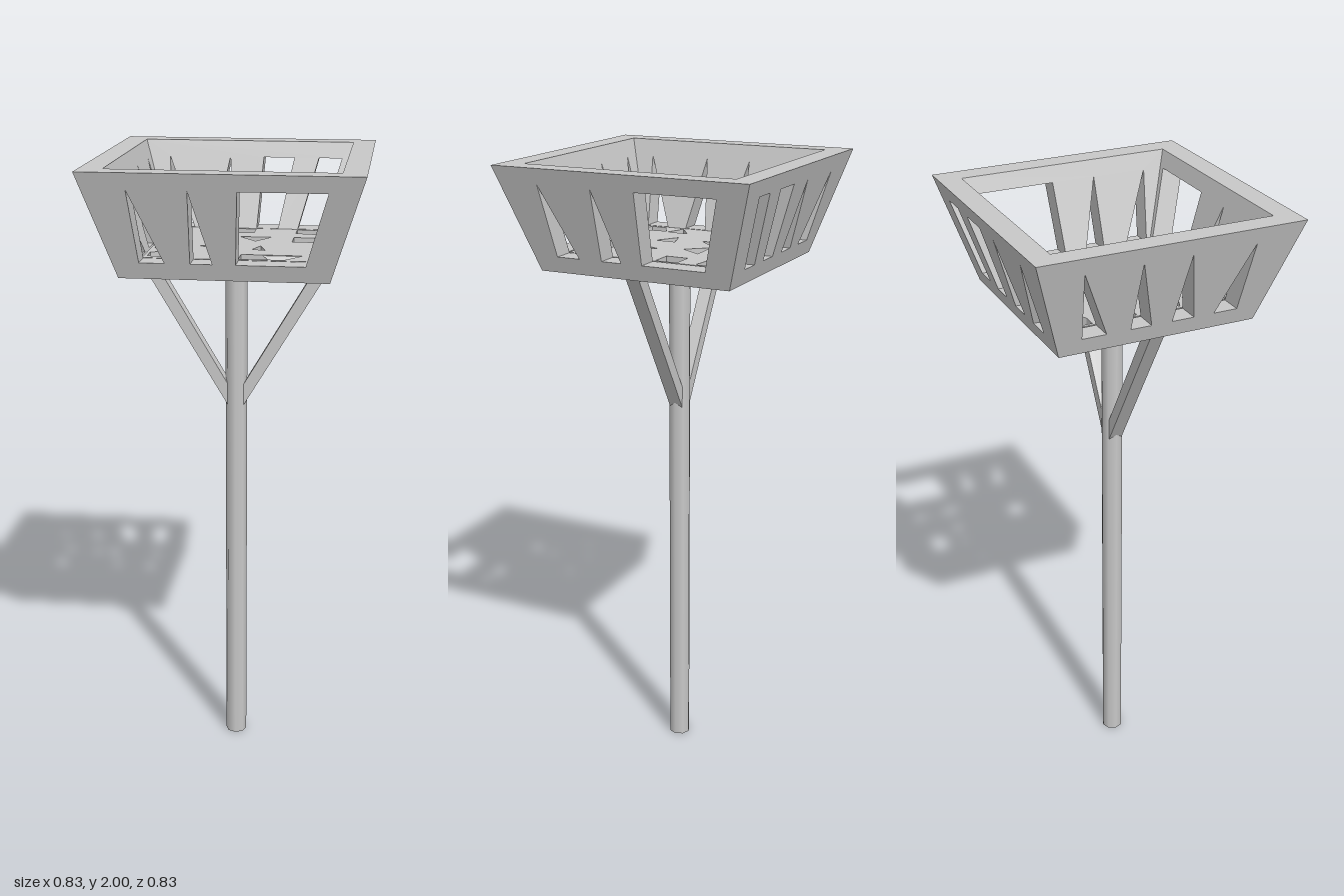
import * as THREE from 'three';

const FLOOR = 1.73, BASE = 1.68, TOP = 2, THICK = 0.07;
const halfAt = (y) => 0.31 + (0.1 * (y - BASE)) / (TOP - BASE); // flare of the basket

const poly = (pts, Type = THREE.Path) => new Type(pts.map(([x, y]) => new THREE.Vector2(x, y)));

// slot outlines: triangular, straight-sided, and a wide one where a slat is gone
const tri = (apex, a, b) => [[a, FLOOR], [b, FLOOR], [apex, 1.95]];
const quad = (a, b, c, d) => [[a, FLOOR], [b, FLOOR], [d, 1.95], [c, 1.95]];
const wide = quad(0.038, 0.24, 0.05, 0.305);

// sloping wall with mitred corners
function wallGeometry(slots) {
  const shape = poly([[-0.31, BASE], [0.31, BASE], [0.41, TOP], [-0.41, TOP]], THREE.Shape);
  slots.forEach((s) => shape.holes.push(poly(s)));
  const g = new THREE.ExtrudeGeometry(shape, { depth: 1, bevelEnabled: false });
  const p = g.attributes.position;
  for (let i = 0; i < p.count; i++) {
    const z = halfAt(p.getY(i)) - THICK * (1 - p.getZ(i));
    p.setXYZ(i, THREE.MathUtils.clamp(p.getX(i), -z, z), p.getY(i), z);
  }
  g.computeVertexNormals();
  return g;
}

export function createModel() {
  const model = new THREE.Group();
  model.name = 'lookoutPost';
  const grey = new THREE.MeshStandardMaterial({ color: 0xc8c8c8, side: THREE.DoubleSide });
  grey.name = 'grey';
  const add = (parent, geometry, name) => {
    const m = new THREE.Mesh(geometry, grey);
    m.name = name;
    parent.add(m);
    return m;
  };

  // post
  const post = add(model, new THREE.CylinderGeometry(0.035, 0.035, 1.7, 8), 'post');
  post.position.y = 0.85;

  // side braces
  for (const s of [-1, 1]) {
    const shape = poly([[0.02 * s, 1.2], [0.31 * s, 1.685], [0.265 * s, 1.685], [0.02 * s, 1.27]], THREE.Shape);
    const g = new THREE.ExtrudeGeometry(shape, { depth: 0.044, bevelEnabled: false });
    g.translate(0, 0, -0.022);
    add(model, g, s > 0 ? 'leftBrace' : 'rightBrace');
  }

  // basket walls: front, left, back, right
  const basket = new THREE.Group();
  basket.name = 'basket';
  basket.rotation.y = 0.008;
  model.add(basket);
  const t1 = tri(-0.265, -0.245, -0.17), t2 = tri(-0.09, -0.095, -0.03);
  const t3 = tri(0.06, 0.035, 0.105), t4 = tri(0.26, 0.17, 0.245);
  const walls = {
    frontWall: [t1, t2, wide],
    leftWall: [t1, t2, wide],
    backWall: [quad(-0.24, -0.17, -0.305, -0.23), quad(-0.105, -0.035, -0.15, -0.05), t3, t4],
    rightWall: [t1, t2, t3, t4],
  };
  Object.entries(walls).forEach(([name, slots], k) => {
    add(basket, wallGeometry(slots), name).rotation.y = (k * Math.PI) / 2;
  });

  // broken grating floor, outlines in x and z
  const holes = [
    [[-0.24, -0.24], [-0.175, -0.24], [-0.175, -0.19], [-0.2, -0.175], [-0.24, -0.175]],
    [[-0.24, -0.105], [-0.215, -0.11], [-0.175, -0.06], [-0.175, -0.035], [-0.24, -0.035]],
    [[-0.24, 0.105], [-0.175, 0.06], [-0.175, 0.13]],
    [[-0.24, 0.22], [-0.24, 0.17], [-0.185, 0.14], [-0.175, 0.235]],
    [[-0.105, -0.24], [0.035, -0.24], [0.035, -0.175], [-0.09, -0.17]],
    [[-0.09, -0.11], [-0.02, -0.105], [-0.08, -0.04]],
    [[0, -0.105], [0.1, -0.11], [0.055, -0.04]],
    [[0.17, -0.24], [0.24, -0.24], [0.24, -0.17], [0.17, -0.18]],
    [[0.17, -0.11], [0.24, -0.11], [0.24, -0.04], [0.17, -0.04]],
    [[0.08, 0.035], [0.1, 0.1], [0.06, 0.09]],
    [[-0.105, 0.055], [-0.035, 0.035], [-0.035, 0.1]],
    [[0.035, 0.17], [0.22, 0.17], [0.17, 0.235], [0.035, 0.235]],
  ];
  const floorShape = poly([[-0.25, -0.25], [0.25, -0.25], [0.25, 0.25], [-0.25, 0.25]], THREE.Shape);
  holes.forEach((h) => floorShape.holes.push(poly(h)));
  const floor = new THREE.ExtrudeGeometry(floorShape, { depth: FLOOR - BASE, bevelEnabled: false });
  floor.rotateX(Math.PI / 2);
  floor.translate(0, FLOOR, 0);
  add(basket, floor, 'floor');

  // bent slivers sloping down through the floor openings
  const slivers = [
    [[-0.05, -0.24], [-0.03, -0.17], [0.03, -0.17]],
    [[-0.105, 0.055], [-0.035, 0.035], [-0.035, 0.1]],
    [[0.1, 0.17], [0.22, 0.17], [0.18, 0.22]],
    [[0.1, 0.235], [0.17, 0.235], [0.14, 0.18]],
    [[0.24, -0.24], [0.24, -0.17], [0.21, -0.19]],
  ];
  const pos = slivers.flatMap((t) => t.flatMap(([x, z], i) => [x, i === 2 ? BASE : FLOOR - 0.002, z]));
  const sg = new THREE.BufferGeometry();
  sg.setAttribute('position', new THREE.Float32BufferAttribute(pos, 3));
  sg.computeVertexNormals();
  add(basket, sg, 'floorSlivers');

  return model;
}
